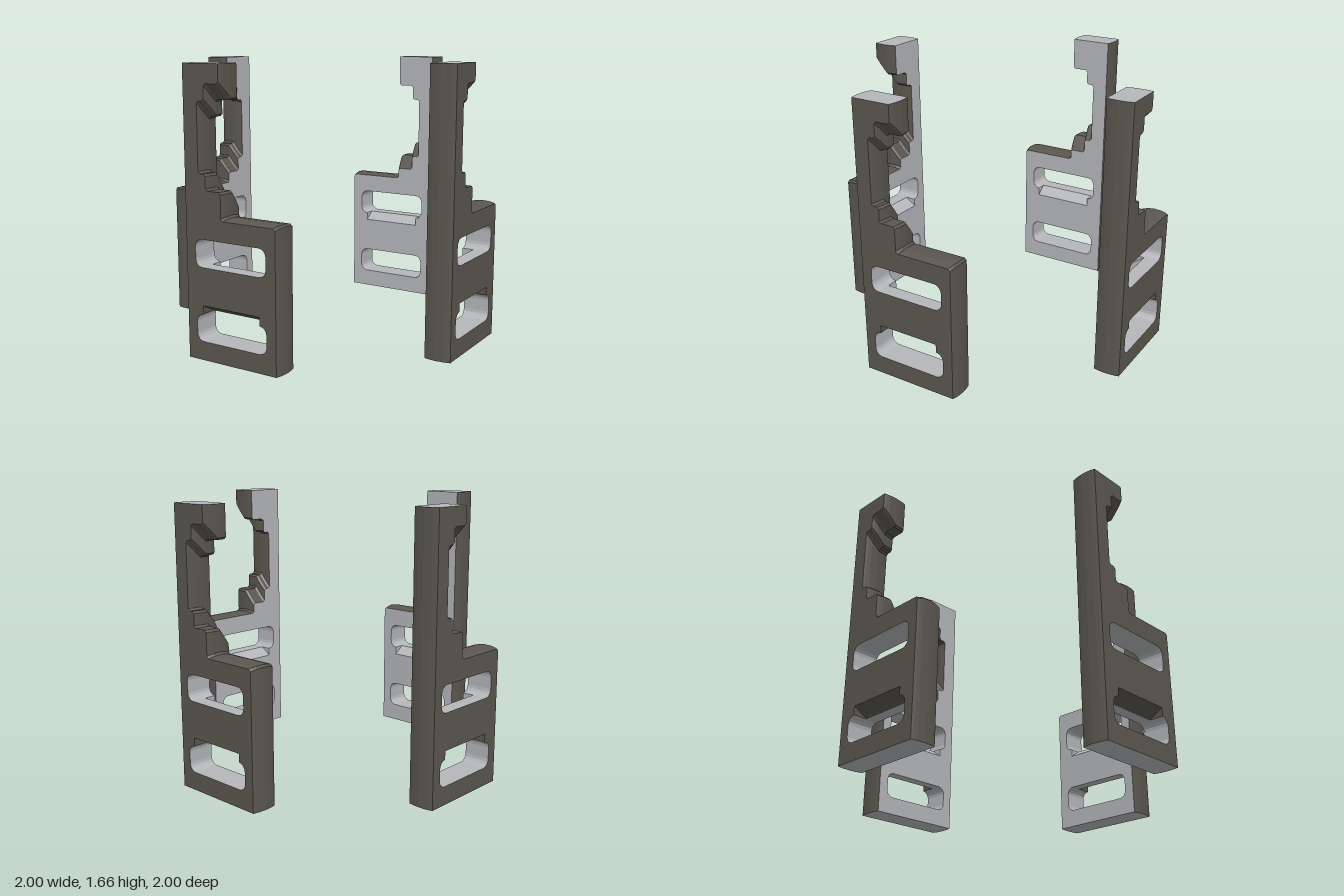
import * as THREE from 'three';

const HALF = 0.315, TOP = 1.665, MID = 0.91;
const LAYERS = [1, 0.985, 0.96, MID, 0.87, 0.84]; // depth sections, outside to inside

// How far a section lies along the outer or inner sloping half of the plate
const outerSlope = z => Math.max(0, (z - MID) / (1 - MID));
const innerSlope = z => Math.max(0, (MID - z) / (MID - 0.84));

// Plate outline at depth z, counter-clockwise, with small cut corners
function outline(z) {
  const e = 0.012 * ((z - 0.92) / 0.08) ** 2; // slightly bulging edges
  const up = 0.09 * outerSlope(z), down = 0.09 * innerSlope(z);
  const x1 = -0.045 - e, x2 = -0.148 - e, x3 = -0.197 - e;
  const corners = [
    [-HALF + e, 0, 0], [HALF - e, 0, 0], [HALF - e, 0.828 - e, 1], [x1, 0.828 - e, 1],
    [x1, 0.975 - down, 1], [x2, 0.975 - down, 1], [x2, 1.067 - down, 1], [x3, 1.067 - down, 1],
    [x3, 1.372 + up, 1], [x2, 1.372 + up, 1], [x2, 1.467 + up, 1], [x1, 1.467 + up, 1],
    [x1, TOP, 0], [-HALF + e, TOP, 0],
  ].map(([x, y, cut]) => ({ p: new THREE.Vector2(x, y), cut }));
  const n = corners.length;
  return corners.flatMap(({ p, cut }, i) => {
    if (!cut) return [p];
    const toward = q => p.clone().add(q.clone().sub(p).setLength(0.012));
    return [toward(corners[(i + n - 1) % n].p), toward(corners[(i + 1) % n].p)];
  });
}

// Rounded slot, clockwise, with an optional sloping notch in its top or bottom
function slot(y0, y1, topNotch, bottomNotch) {
  const r = 0.045, w = 0.24, pts = [];
  const arc = (cx, cy, start) => {
    for (let i = 0; i <= 4; i++) {
      const a = start + i * Math.PI / 8;
      pts.push(new THREE.Vector2(cx + r * Math.cos(a), cy + r * Math.sin(a)));
    }
  };
  const notch = (s, y) => pts.push(new THREE.Vector2(s * (w - r), y), new THREE.Vector2(-s * (w - r), y));
  arc(w - r, y1 - r, 0);
  notch(1, y1 + topNotch);
  arc(-w + r, y1 - r, Math.PI / 2);
  arc(-w + r, y0 + r, Math.PI);
  notch(-1, y0 - bottomNotch);
  arc(w - r, y0 + r, Math.PI * 1.5);
  return pts.reverse();
}

// All loops of one depth section
const section = z => [
  outline(z),
  slot(0.11, 0.27, 0.05 * outerSlope(z), 0),
  slot(0.54, 0.7, 0, 0.05 * innerSlope(z)),
];

function plateGeometries() {
  const dark = [], light = [];
  const put = (list, p, z) => list.push(p.x, p.y, z);
  const sections = LAYERS.map(section);

  // Flat faces: dark outside, light inside
  const cap = (loops, z, list, flip) => {
    const all = loops.flat();
    for (const f of THREE.ShapeUtils.triangulateShape(loops[0].slice(), loops.slice(1).map(l => l.slice()))) {
      for (const i of flip ? [f[0], f[2], f[1]] : f) put(list, all[i], z);
    }
  };
  cap(sections[0], LAYERS[0], dark, false);
  cap(sections.at(-1), LAYERS.at(-1), light, true);

  // Edge walls between neighbouring sections
  const onEnd = (a, b) => a.y === b.y && (a.y === 0 || a.y === TOP);
  const inNotch = p => p.y > 0.2705 && p.y < 0.4;
  for (let k = 0; k < LAYERS.length - 1; k++) {
    const zf = LAYERS[k], zb = LAYERS[k + 1];
    sections[k].forEach((front, loop) => {
      const back = sections[k + 1][loop];
      front.forEach((a, i) => {
        const j = (i + 1) % front.length, b = front[j], c = back[j], d = back[i];
        const isLight = loop === 0 ? onEnd(a, b) : !(inNotch(a) || inNotch(b));
        const list = isLight ? light : dark;
        put(list, a, zf); put(list, d, zb); put(list, c, zb);
        put(list, a, zf); put(list, c, zb); put(list, b, zf);
      });
    });
  }
  return [dark, light].map(list => {
    const g = new THREE.BufferGeometry();
    g.setAttribute('position', new THREE.Float32BufferAttribute(list, 3));
    g.computeVertexNormals();
    return g;
  });
}

export function createModel() {
  const darkMetal = new THREE.MeshStandardMaterial({ color: 0x5b574f });
  darkMetal.name = 'dark metal';
  const paleMetal = new THREE.MeshStandardMaterial({ color: 0xb4b6ba });
  paleMetal.name = 'pale metal';

  const model = new THREE.Group();
  model.name = 'slottedPlates';
  const [shell, lining] = plateGeometries();

  // Four equal plates turned about the centre
  ['frontPlate', 'leftPlate', 'backPlate', 'rightPlate'].forEach((name, i) => {
    const plate = new THREE.Group();
    plate.name = name;
    const outer = new THREE.Mesh(shell, darkMetal);
    outer.name = 'outerShell';
    const inner = new THREE.Mesh(lining, paleMetal);
    inner.name = 'innerLining';
    plate.add(outer, inner);
    plate.rotation.y = i * Math.PI / 2;
    model.add(plate);
  });
  return model;
}
